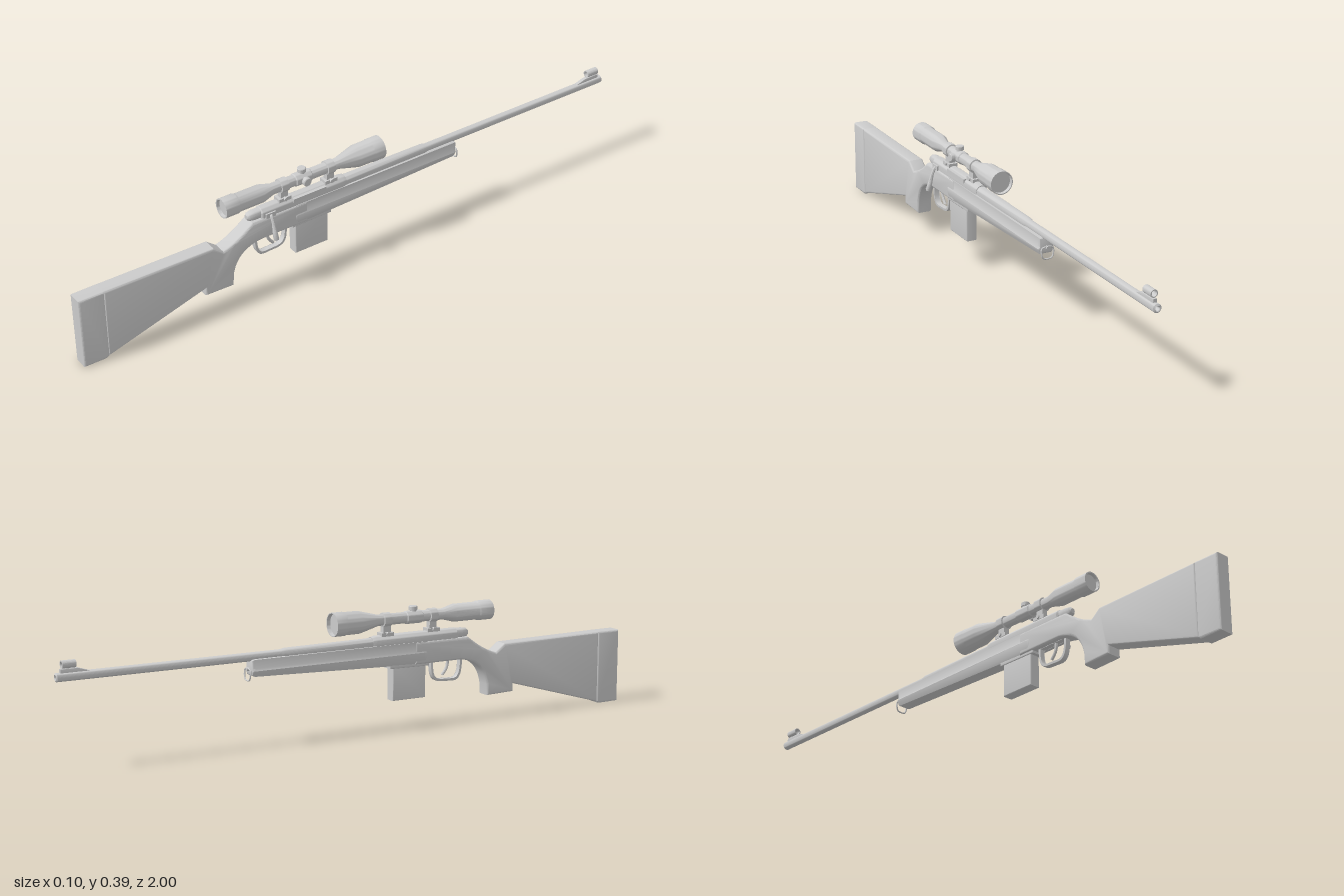
import * as THREE from 'three';
import { toCreasedNormals } from 'three/addons/utils/BufferGeometryUtils.js';

const material = new THREE.MeshStandardMaterial({ color: 0xcccccc, side: THREE.DoubleSide });

export function createModel() {
  const model = new THREE.Group();
  model.name = 'scopedRifle';
  const body = new THREE.Group();
  body.name = 'rifleBody';
  body.position.x = -0.012;
  model.add(body);

  function add(name, geometry, x = 0, y = 0, z = 0) {
    const mesh = new THREE.Mesh(toCreasedNormals(geometry, 0.6), material);
    mesh.name = name;
    mesh.position.set(x, y, z);
    body.add(mesh);
    return mesh;
  }
  // Side outline in (z, y), extruded across the width with rounded edges
  function side(name, shape, width, bevel) {
    const g = new THREE.ExtrudeGeometry(shape, {
      depth: width - 2 * bevel, bevelThickness: bevel, bevelSize: bevel, bevelOffset: -bevel,
      bevelSegments: 3, bevelEnabled: bevel > 0, curveSegments: 10,
    });
    g.translate(0, 0, -width / 2 + bevel).rotateY(-Math.PI / 2);
    return add(name, g);
  }
  const polygon = (pts) => new THREE.Shape(pts.map(([z, y]) => new THREE.Vector2(z, y)));
  // Turned part along z from [radius, z] points
  function turned(name, pts, y, segments = 32) {
    const g = new THREE.LatheGeometry(pts.map(([r, z]) => new THREE.Vector2(r, z)), segments);
    return add(name, g.rotateX(Math.PI / 2), 0, y, 0);
  }
  const tube = (name, pts, r, closed = false) => add(name, new THREE.TubeGeometry(
    new THREE.CatmullRomCurve3(pts.map((p) => new THREE.Vector3(...p)), closed, 'centripetal'), 40, r, 8, closed));

  // Butt, wrist and pistol grip
  const stock = new THREE.Shape();
  stock.moveTo(0.917, 0.247);
  stock.lineTo(0.917, 0.008);
  stock.lineTo(0.575, 0.107);
  stock.lineTo(0.575, 0.08);
  stock.lineTo(0.475, 0.077);
  stock.lineTo(0.473, 0.115);
  stock.bezierCurveTo(0.465, 0.16, 0.44, 0.2, 0.37, 0.206);
  stock.lineTo(0.2, 0.206);
  stock.lineTo(0.2, 0.278);
  stock.lineTo(0.4, 0.278);
  stock.bezierCurveTo(0.43, 0.255, 0.46, 0.232, 0.507, 0.217);
  stock.lineTo(0.54, 0.243);
  side('stock', stock, 0.052, 0.007);
  side('buttPad', polygon([[0.915, 0.247], [1, 0.247], [1, 0.003], [0.925, 0.002], [0.915, 0.008]]), 0.052, 0.006);

  // Fore-end: its cross-section run along z, the underside rising to the front
  const section = polygon([[-0.02, 0.205], [0.02, 0.205], [0.026, 0.217], [0.028, 0.243],
    [0.024, 0.25], [0.024, 0.278], [-0.024, 0.278], [-0.024, 0.25], [-0.028, 0.243], [-0.026, 0.217]]);
  const foreEnd = new THREE.ExtrudeGeometry(section, {
    depth: 0.6, bevelThickness: 0.012, bevelSize: 0.006, bevelOffset: -0.006, bevelSegments: 3,
  });
  foreEnd.translate(0, 0, -0.363);
  const p = foreEnd.attributes.position;
  for (let i = 0; i < p.count; i++) {
    const t = Math.max(0, (0.2 - p.getZ(i)) / 0.575);
    if (p.getY(i) < 0.23) p.setY(i, p.getY(i) + 0.02 * t);
  }
  foreEnd.computeVertexNormals();
  add('foreEnd', foreEnd);

  // Barrel with bore, receiver and bolt
  turned('barrel', [[0, -0.95], [0.007, -0.95], [0.007, -0.998], [0.009, -1], [0.0135, -0.997],
    [0.0138, -0.27], [0.017, -0.255], [0.019, 0.05], [0.019, 0.09]], 0.284);
  turned('receiver', [[0, 0.05], [0.02, 0.05], [0.023, 0.065], [0.023, 0.36], [0.018, 0.365], [0, 0.365]], 0.286);
  turned('boltShroud', [[0.017, 0.35], [0.017, 0.385], [0.014, 0.402], [0.008, 0.409], [0, 0.41]], 0.29);
  add('ejectionPort', new THREE.BoxGeometry(0.012, 0.014, 0.12), 0.018, 0.298, 0.19);
  add('boltCollar', new THREE.BoxGeometry(0.03, 0.016, 0.035), 0.012, 0.284, 0.335);

  // Bolt handle, flaring to a rounded grip
  tube('boltHandle', [[0.01, 0.284, 0.335], [0.026, 0.282, 0.335], [0.034, 0.268, 0.335], [0.046, 0.235, 0.335]], 0.0055);
  const knob = add('boltKnob', new THREE.LatheGeometry([[0, 0], [0.007, 0.001], [0.009, 0.006], [0.007, 0.03],
    [0.0045, 0.055]].map(([r, y]) => new THREE.Vector2(r, y)), 16), 0.053, 0.205, 0.335);
  knob.rotation.z = 0.3;

  // Magazine and its floor lip
  side('magazine', polygon([[0.243, 0.215], [0.243, 0.095], [0.122, 0.095], [0.122, 0.215]]), 0.036, 0.003);
  side('magazineWell', polygon([[0.255, 0.22], [0.255, 0.198], [0.11, 0.2], [0.11, 0.22]]), 0.042, 0.003);

  // Trigger guard: a flat strap bent under the trigger
  const guard = new THREE.Shape();
  guard.moveTo(0.386, 0.21);
  guard.bezierCurveTo(0.388, 0.12, 0.355, 0.138, 0.325, 0.138);
  guard.bezierCurveTo(0.28, 0.138, 0.268, 0.145, 0.268, 0.21);
  const hole = new THREE.Path();
  hole.moveTo(0.379, 0.206);
  hole.bezierCurveTo(0.38, 0.13, 0.355, 0.145, 0.325, 0.145);
  hole.bezierCurveTo(0.285, 0.145, 0.275, 0.15, 0.275, 0.206);
  guard.holes.push(hole);
  side('triggerGuard', guard, 0.018, 0.001);
  tube('trigger', [[0, 0.212, 0.335], [0, 0.19, 0.335], [0, 0.172, 0.327], [0, 0.158, 0.315]], 0.005);

  // Scope with recessed lenses at both ends
  const scopeY = 0.357;
  turned('scopeTube', [[0, -0.075], [0.034, -0.075], [0.035, -0.087], [0.038, -0.087], [0.038, -0.05],
    [0.0365, -0.045], [0.036, 0.005], [0.018, 0.075], [0.018, 0.315], [0.029, 0.355], [0.029, 0.44],
    [0.032, 0.445], [0.032, 0.493], [0.028, 0.493], [0.027, 0.483], [0, 0.483]], scopeY, 40);
  turned('scopeSaddle', [[0.018, 0.175], [0.021, 0.178], [0.021, 0.232], [0.018, 0.235]], scopeY);
  const turret = [[0.011, 0], [0.011, 0.022], [0.014, 0.023], [0.014, 0.034], [0.012, 0.036], [0, 0.036]];
  for (const [name, angle] of [['elevationTurret', 0], ['windageTurret', -Math.PI / 2]]) {
    const g = new THREE.LatheGeometry(turret.map(([r, y]) => new THREE.Vector2(r, y)), 20);
    add(name, g, 0, scopeY, 0.205).rotation.z = angle;
  }

  // Scope mounts: base, post, ring and clamp screw
  for (const z of [0.105, 0.275]) {
    add('mountBase', new THREE.BoxGeometry(0.03, 0.012, 0.045), 0, 0.311, z);
    add('mountPost', new THREE.BoxGeometry(0.02, 0.03, 0.026), 0, 0.327, z);
    turned('mountRing', [[0.018, z - 0.014], [0.0225, z - 0.013], [0.0225, z + 0.013], [0.018, z + 0.014]], scopeY);
    add('mountScrew', new THREE.CylinderGeometry(0.006, 0.006, 0.04, 12).rotateZ(Math.PI / 2), 0, 0.313, z);
  }

  // Front sight on a ramp, with a hood
  side('sightRamp', polygon([[-0.88, 0.292], [-0.93, 0.308], [-0.985, 0.308], [-0.985, 0.292]]), 0.012, 0.001);
  turned('sightHood', [[0.009, -0.98], [0.012, -0.98], [0.012, -0.937], [0.009, -0.937], [0.009, -0.98]], 0.321, 20);
  add('sightBlade', new THREE.BoxGeometry(0.003, 0.018, 0.012), 0, 0.315, -0.96);

  // Sling loop at the fore-end tip
  add('slingStud', new THREE.CylinderGeometry(0.005, 0.005, 0.02, 10).rotateX(Math.PI / 2), 0, 0.246, -0.375);
  tube('slingLoop', [[-0.018, 0.245, -0.38], [0.018, 0.245, -0.38], [0.018, 0.22, -0.382],
    [0.012, 0.213, -0.382], [-0.012, 0.213, -0.382], [-0.018, 0.22, -0.382]], 0.0025, true);

  return model;
}
